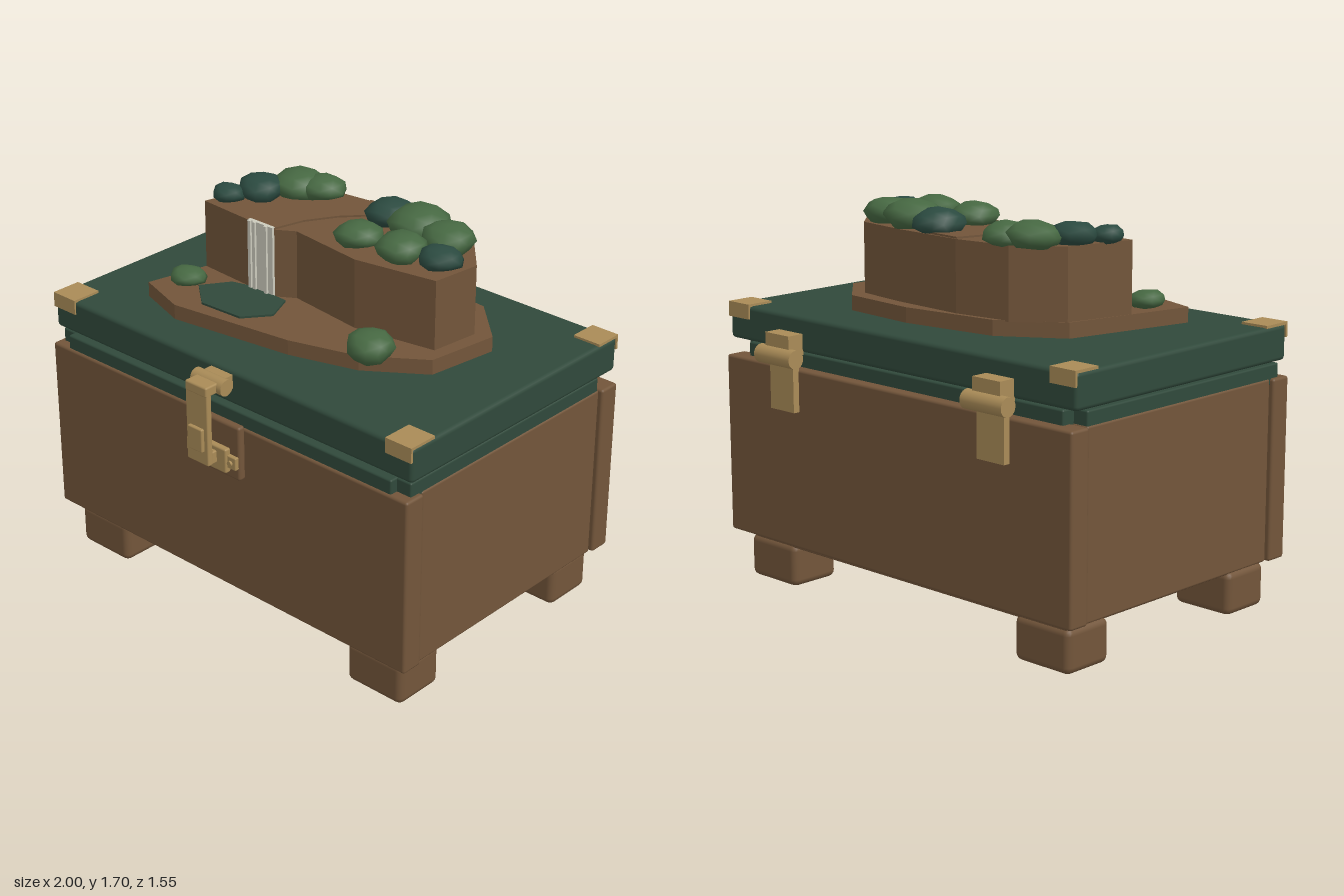
import * as THREE from 'three';
import { mergeVertices } from 'three/addons/utils/BufferGeometryUtils.js';
import { RoundedBoxGeometry } from 'three/addons/geometries/RoundedBoxGeometry.js';

const mat = (name, color) => new THREE.MeshStandardMaterial({ name, color });

export function createModel() {
  const root = new THREE.Group();
  root.name = 'scenicChest';
  const wood = mat('brownWood', 0x72553a);
  const green = mat('lidGreen', 0x30493b);
  const brass = mat('brass', 0xa98b57);
  const leaf = mat('leafGreen', 0x466842);
  const darkLeaf = mat('darkLeafGreen', 0x2b4a40);
  const foam = mat('waterfallCream', 0xcbcabc);

  const add = (name, geometry, material, parent = root) => {
    const m = new THREE.Mesh(geometry, material);
    m.name = name;
    parent.add(m);
    return m;
  };
  // Box given by its ranges, optionally with rounded edges
  const box = (name, material, [x0, x1], [y0, y1], [z0, z1], r = 0, parent = root) => {
    const s = [x1 - x0, y1 - y0, z1 - z0];
    const g = r ? new RoundedBoxGeometry(...s, 2, r) : new THREE.BoxGeometry(...s);
    const m = add(name, g, material, parent);
    m.position.set((x0 + x1) / 2, (y0 + y1) / 2, (z0 + z1) / 2);
    return m;
  };
  // Bar along x
  const bar = (name, material, r, length, x, y, z, parent = root) => {
    const g = new THREE.CylinderGeometry(r, r, length, 20).rotateZ(Math.PI / 2);
    add(name, g, material, parent).position.set(x, y, z);
  };
  // Flat slab from an outline of [x, z] points
  const slab = (name, material, points, y0, y1) => {
    const shape = new THREE.Shape(points.map(([x, z]) => new THREE.Vector2(x, -z)));
    const g = new THREE.ExtrudeGeometry(shape, { depth: y1 - y0, bevelEnabled: false });
    add(name, g.rotateX(-Math.PI / 2), material).position.y = y0;
  };

  // Chest walls, floor and feet
  box('frontWall', wood, [-1, 1], [0.21, 0.99], [0.54, 0.64], 0.012);
  box('backWall', wood, [-1, 1], [0.21, 0.99], [-0.69, -0.59], 0.012);
  for (const s of [-1, 1]) {
    box('sideWall', wood, s < 0 ? [-0.985, -0.9] : [0.9, 0.985], [0.21, 0.99], [-0.585, 0.535], 0.01);
    for (const [z0, z1] of [[0.35, 0.588], [-0.635, -0.395]]) {
      box('foot', wood, s < 0 ? [-0.94, -0.65] : [0.65, 0.94], [0, 0.187], [z0, z1], 0.03);
    }
  }
  box('floor', wood, [-0.92, 0.92], [0.175, 0.23], [-0.625, 0.59], 0.008);

  // Lip and lid
  box('lipFrontBack', green, [-0.91, 0.91], [0.96, 1.05], [-0.64, 0.63], 0.008);
  box('lipSides', green, [-0.98, 0.98], [0.96, 1.049], [-0.58, 0.595], 0.008);
  box('lidSeat', green, [-0.88, 0.88], [1.03, 1.08], [-0.56, 0.56]);
  box('lid', green, [-1, 1], [1.06, 1.21], [-0.665, 0.615], 0.018);

  // Brass corner plates, each with a flap folded over the edge
  for (const s of [-1, 1]) {
    const x = s < 0 ? [-1, -0.87] : [0.87, 1];
    box('frontCornerPlate', brass, x, [1.208, 1.22], [0.485, 0.622]);
    box('frontCornerFlap', brass, x, [1.155, 1.215], [0.612, 0.622]);
    box('backCornerPlate', brass, x, [1.208, 1.22], [-0.672, -0.545]);
    box('backCornerFlap', brass, x, [1.155, 1.215], [-0.672, -0.662]);
  }

  // Back hinges
  for (const s of [-1, 1]) {
    const hinge = new THREE.Group();
    hinge.name = 'hinge';
    hinge.position.x = s * 0.607;
    root.add(hinge);
    bar('hingeBarrel', brass, 0.04, 0.22, 0, 1.045, -0.735, hinge);
    box('upperLeaf', brass, [-0.073, 0.073], [1.05, 1.14], [-0.742, -0.66], 0, hinge);
    box('lowerLeaf', brass, [-0.073, 0.073], [0.81, 1.05], [-0.72, -0.688], 0, hinge);
  }

  // Front latch
  const latch = new THREE.Group();
  latch.name = 'latch';
  root.add(latch);
  box('latchBacking', wood, [-0.15, 0.145], [0.76, 1.005], [0.635, 0.672], 0.012, latch);
  box('catchPlate', brass, [-0.095, 0.095], [0.79, 0.9], [0.67, 0.7], 0.008, latch);
  bar('latchPin', brass, 0.035, 0.17, 0, 1.167, 0.675, latch);
  box('lidMount', brass, [-0.06, 0.06], [1.135, 1.195], [0.61, 0.665], 0, latch);
  box('latchLink', brass, [-0.06, 0.06], [1.145, 1.19], [0.68, 0.765], 0.008, latch);
  box('latchStrap', brass, [-0.06, 0.06], [0.835, 1.185], [0.735, 0.762], 0.006, latch);
  box('latchButton', brass, [-0.04, 0.04], [0.895, 1.0], [0.755, 0.777], 0.006, latch);
  box('catchHook', brass, [-0.045, 0.045], [0.825, 0.88], [0.69, 0.74], 0.006, latch);
  for (const s of [-1, 1]) {
    box('catchEar', brass, s < 0 ? [-0.14, -0.085] : [0.085, 0.14], [0.815, 0.872], [0.668, 0.69], 0.005, latch);
    const rivet = new THREE.CylinderGeometry(0.012, 0.012, 0.014, 12).rotateX(Math.PI / 2);
    add('rivet', rivet, brass, latch).position.set(s * 0.113, 0.843, 0.693);
  }

  // Terraced island with a cliff, channel, pond and waterfall
  slab('islandBase', wood, [[-0.69, 0.36], [-0.45, 0.44], [0.12, 0.36], [0.42, 0.27], [0.66, 0.1],
    [0.705, -0.22], [0.5, -0.415], [0.14, -0.445], [-0.3, -0.39], [-0.56, -0.22]], 1.205, 1.275);
  slab('cliff', wood, [[-0.625, 0.08], [-0.34, 0.1], [-0.2, 0.1], [-0.12, 0.05], [0.24, 0.095],
    [0.61, 0.03], [0.635, -0.19], [0.5, -0.34], [0.25, -0.375], [-0.1, -0.395], [-0.36, -0.36],
    [-0.55, -0.22]], 1.27, 1.578);
  slab('streamBed', wood, [[-0.34, 0.1], [-0.2, 0.1], [-0.165, -0.04], [-0.09, -0.17], [0.01, -0.28],
    [0.13, -0.37], [-0.1, -0.39], [-0.135, -0.27], [-0.23, -0.15], [-0.31, -0.02]], 1.575, 1.586);
  slab('pond', green, [[-0.5, 0.25], [-0.42, 0.13], [-0.33, 0.105], [-0.13, 0.11], [-0.075, 0.24],
    [-0.16, 0.35], [-0.37, 0.36]], 1.274, 1.284);
  box('waterfall', foam, [-0.34, -0.2], [1.28, 1.588], [0.095, 0.112]);
  for (const x of [-0.325, -0.3, -0.235]) {
    box('waterfallStrand', foam, [x - 0.008, x + 0.008], [1.28, 1.588], [0.108, 0.122]);
  }

  // Bushes: lumpy, flattened low balls [x, y, z, radius, half height, dark]
  const bushes = [
    [-0.3, 1.61, -0.31, 0.1, 0.055, 0], [-0.41, 1.61, -0.26, 0.122, 0.062, 0],
    [-0.5, 1.61, -0.13, 0.105, 0.06, 1], [-0.565, 1.605, -0.01, 0.07, 0.042, 1],
    [0.1, 1.615, -0.295, 0.112, 0.06, 1], [0.255, 1.622, -0.27, 0.135, 0.072, 0],
    [0.435, 1.617, -0.245, 0.118, 0.07, 0], [0.53, 1.61, -0.1, 0.092, 0.052, 1],
    [0.145, 1.615, -0.04, 0.103, 0.054, 0], [0.355, 1.618, -0.045, 0.11, 0.06, 0],
    [0.435, 1.307, 0.22, 0.104, 0.068, 0], [-0.56, 1.308, 0.245, 0.078, 0.041, 0],
  ];
  bushes.forEach(([x, y, z, r, h, dark], i) => {
    let g = new THREE.IcosahedronGeometry(1, 1);
    g.deleteAttribute('normal');
    g.deleteAttribute('uv');
    g = mergeVertices(g, 1e-3);
    const p = g.attributes.position;
    for (let k = 0; k < p.count; k++) {
      const f = 0.98 + 0.1 * Math.sin(k * 12.9 + i * 4.7);
      p.setXYZ(k, p.getX(k) * f * r, p.getY(k) * f * h, p.getZ(k) * f * r);
    }
    g.computeVertexNormals();
    add('bush', g, dark ? darkLeaf : leaf).position.set(x, y, z);
  });

  return root;
}
